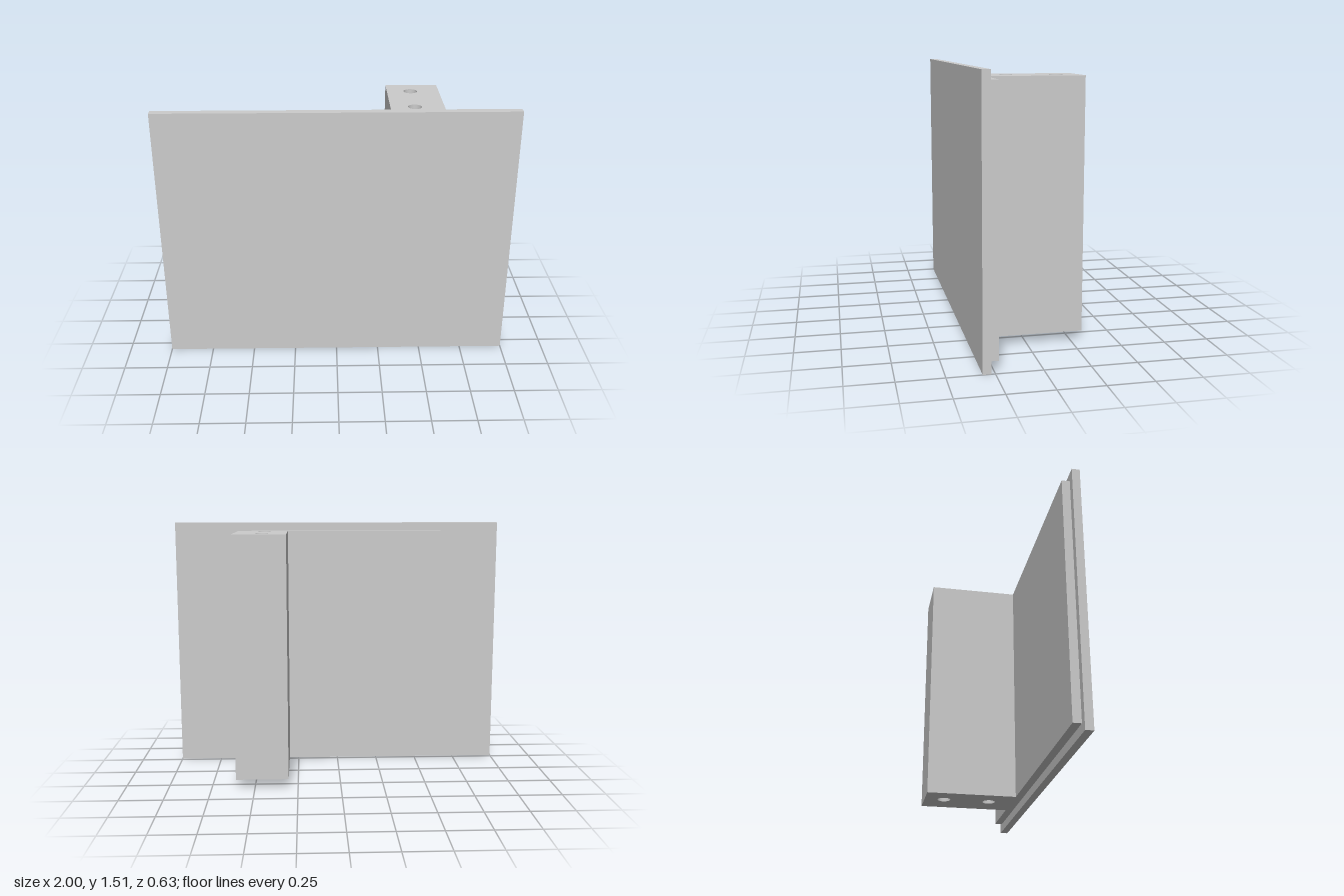
import * as THREE from 'three';

export function createModel() {
  const group = new THREE.Group();
  const material = new THREE.MeshStandardMaterial({ color: 0xcccccc, flatShading: true });
  const height = 1.51, inset = 0.05;
  const front = 0.315, plateBack = 0.27, stepBack = 0.224, back = -0.315;

  // Front plate
  const plate = new THREE.Mesh(new THREE.BoxGeometry(2, height, front - plateBack), material);
  plate.name = 'frontPlate';
  plate.position.set(0, height / 2, (front + plateBack) / 2);
  group.add(plate);

  // Stepped backing panel and mounting block: one plan outline (x, z) drawn upwards
  const outline = [
    [-0.955, plateBack], [0.955, plateBack], [0.955, stepBack], [0.61, stepBack],
    [0.61, back], [0.305, back], [0.305, stepBack], [-0.955, stepBack],
  ];
  const shape = new THREE.Shape(outline.map(([x, z]) => new THREE.Vector2(x, -z)));

  // Two bores running the full height of the block
  for (const z of [-0.196, 0.082]) {
    shape.holes.push(new THREE.Path().absarc(0.443, -z, 0.039, 0, Math.PI * 2, true));
  }

  const geometry = new THREE.ExtrudeGeometry(shape, {
    depth: height - 2 * inset, bevelEnabled: false, curveSegments: 32,
  });
  geometry.rotateX(-Math.PI / 2);
  const backing = new THREE.Mesh(geometry, material);
  backing.name = 'backingPanelWithBlock';
  backing.position.y = inset;
  group.add(backing);

  return group;
}
